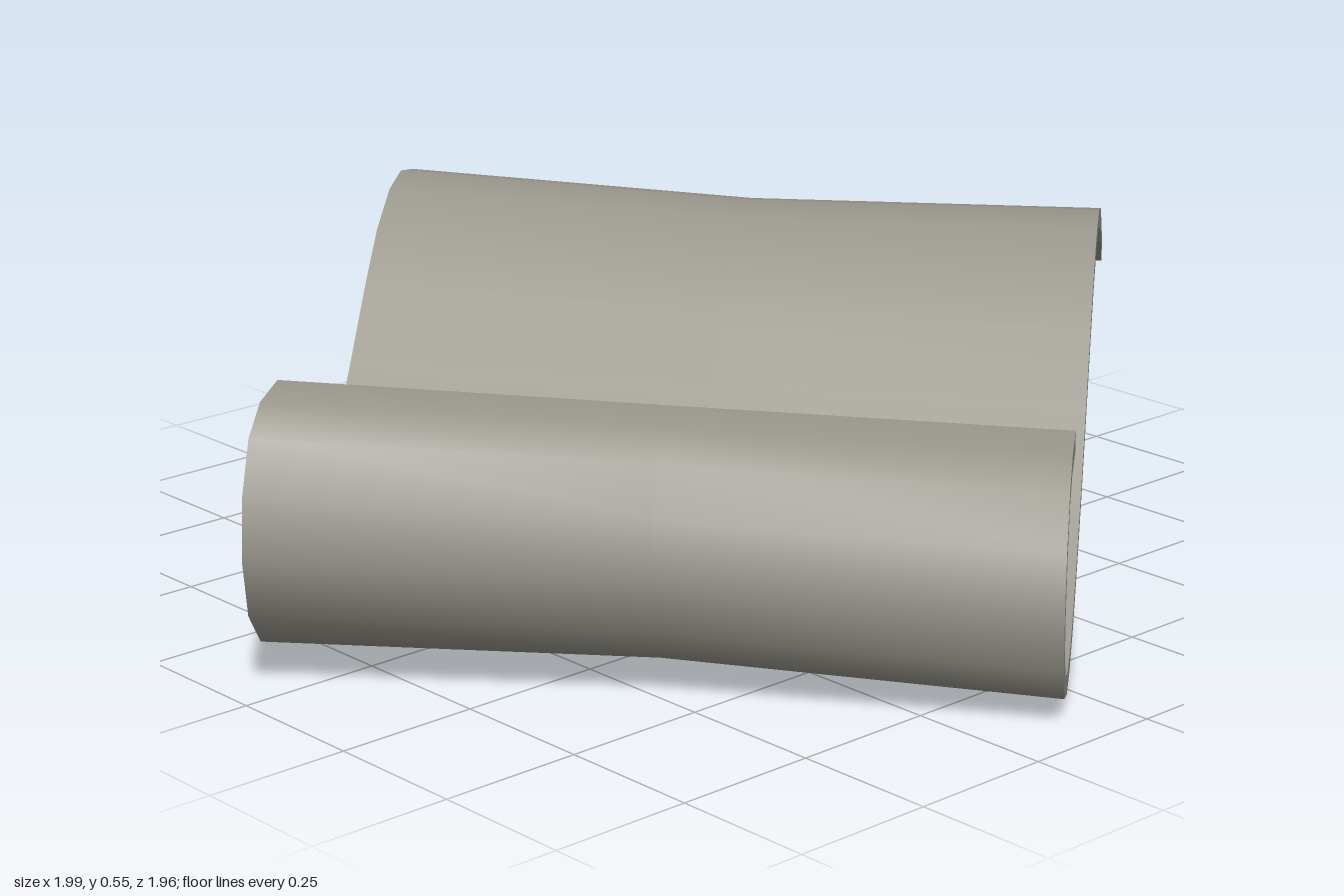
import * as THREE from 'three';

// Underside of the front end: [x, y] from the curled lip round to the tail
const PROFILE = [
  [0.03, 0.425], [-0.06, 0.425], [-0.122, 0.39], [-0.163, 0.31], [-0.175, 0.21],
  [-0.155, 0.11], [-0.1, 0.04], [-0.015, 0.004], [0.06, 0.004], [0.14, 0.028],
  [0.23, 0.08], [0.34, 0.165], [0.45, 0.27], [0.55, 0.37], [0.63, 0.44],
  [0.71, 0.482], [0.78, 0.49], [0.85, 0.47], [0.91, 0.425], [0.98, 0.36],
].map(([x, y]) => new THREE.Vector2((x - 0.41) / 0.768, y));

const THICKNESS = 0.035;
const ACROSS = new THREE.Vector3(0.768, 0, -0.64);
const ALONG = new THREE.Vector3(0.64, 0, 0.768);

// Sections from back to front; the middle one is slightly smaller
const STATIONS = [
  { at: -0.64, scale: 1, rise: 0.032 },
  { at: 0, scale: 0.955, rise: 0.027 },
  { at: 0.64, scale: 1, rise: 0 },
];

// Push the profile sideways by its averaged normal to give the sheet thickness
function offset(points, d) {
  return points.map((p, i) => {
    const a = points[Math.max(i - 1, 0)];
    const b = points[Math.min(i + 1, points.length - 1)];
    const t = b.clone().sub(a).normalize();
    return new THREE.Vector2(p.x - t.y * d, p.y + t.x * d);
  });
}

function place(points, { at, scale, rise }) {
  return points.map((p) => new THREE.Vector3()
    .addScaledVector(ACROSS, p.x * scale)
    .addScaledVector(ALONG, at)
    .setY(p.y * scale + rise));
}

// Smooth grid surface facing (row step) x (column step)
function surface(rows, name, material) {
  const n = rows[0].length;
  const index = [];
  for (let j = 0; j < rows.length - 1; j++) {
    for (let i = 0; i < n - 1; i++) {
      const a = j * n + i;
      index.push(a, a + n, a + 1, a + 1, a + n, a + n + 1);
    }
  }
  const geometry = new THREE.BufferGeometry().setFromPoints(rows.flat());
  geometry.setIndex(index);
  geometry.computeVertexNormals();
  const mesh = new THREE.Mesh(geometry, material);
  mesh.name = name;
  return mesh;
}

export function createModel() {
  const material = new THREE.MeshStandardMaterial({ color: 0x99978d });
  material.name = 'warm grey';

  const under = STATIONS.map((s) => place(PROFILE, s));
  const upper = STATIONS.map((s) => place(offset(PROFILE, THICKNESS), s));
  const last = PROFILE.length - 1;

  const group = new THREE.Group();
  group.name = 'curledSheet';
  group.add(
    surface(upper, 'upperSurface', material),
    surface([...under].reverse(), 'underSurface', material),
    // Thin rims closing the four edges
    surface([upper[2], under[2]], 'frontRim', material),
    surface([under[0], upper[0]], 'backRim', material),
    surface(under.map((r, j) => [r[0], upper[j][0]]), 'lipRim', material),
    surface(upper.map((r, j) => [r[last], under[j][last]]), 'tailRim', material),
  );
  return group;
}
